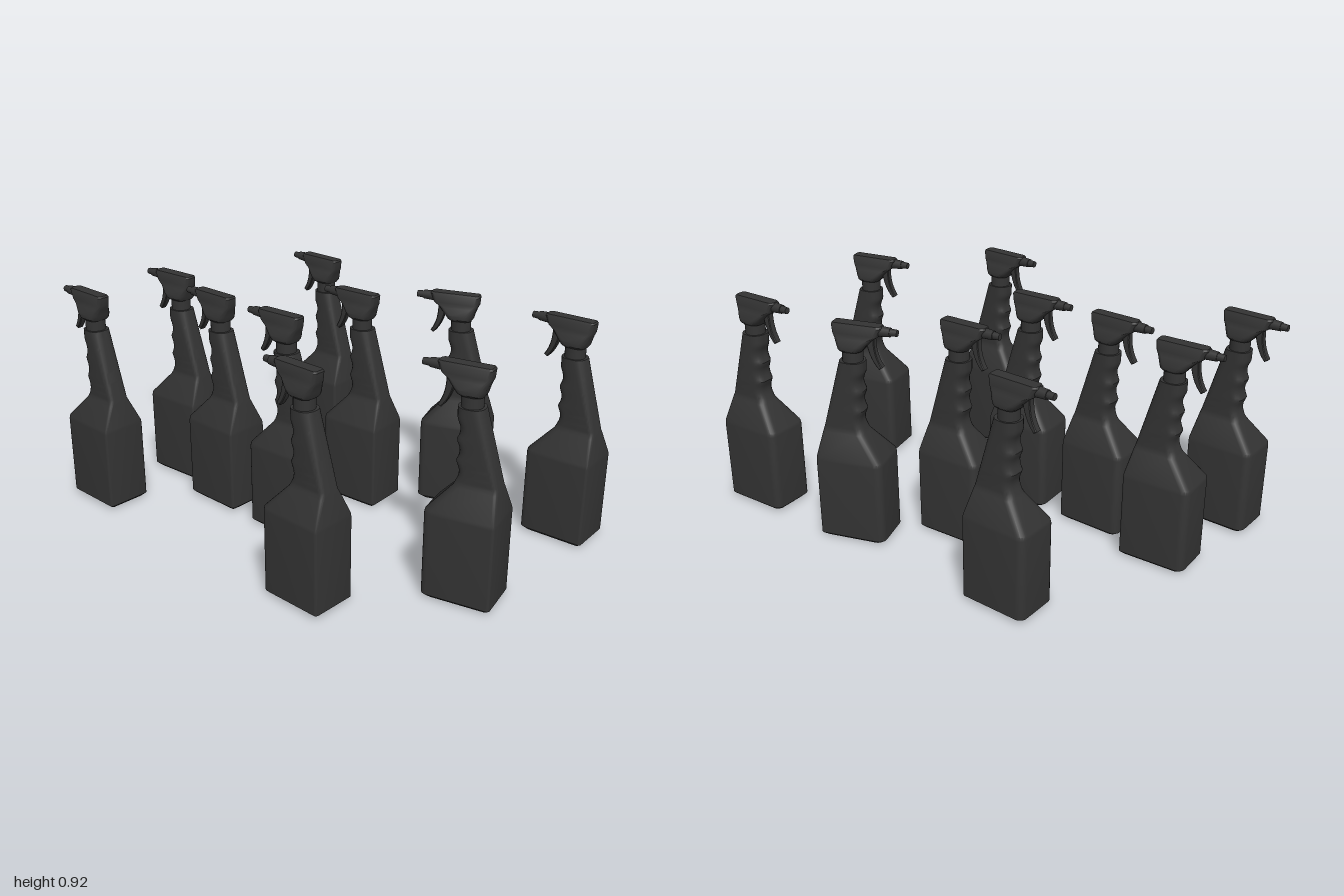
import * as THREE from 'three';
import { toCreasedNormals } from 'three/addons/utils/BufferGeometryUtils.js';

const CORNER_STEPS = 5;

// Rounded rectangle in plan; the front (-x) and back (+x) corners have their own radii
function ring([y, x0, x1, hz, rFront, rBack]) {
  const pts = [];
  const corners = [[1, 1, 0], [-1, 1, 1], [-1, -1, 2], [1, -1, 3]];
  for (const [sx, sz, quarter] of corners) {
    const r = sx > 0 ? rBack : rFront;
    const cx = sx > 0 ? x1 - r : x0 + r;
    const cz = sz * (hz - r);
    for (let i = 0; i <= CORNER_STEPS; i++) {
      const a = (quarter + i / CORNER_STEPS) * Math.PI / 2;
      pts.push([cx + r * Math.cos(a), y, cz + r * Math.sin(a)]);
    }
  }
  return pts;
}

// Skin a stack of rings from bottom to top and close both ends
function loft(sections, crease = 0.6) {
  const rings = sections.map(ring);
  const n = rings[0].length, last = rings.length - 1;
  const pos = rings.flat(2), index = [];
  for (let i = 0; i < last; i++) {
    for (let j = 0; j < n; j++) {
      const a = i * n + j, b = i * n + (j + 1) % n;
      index.push(a, a + n, b, b, a + n, b + n);
    }
  }
  for (const i of [0, last]) {
    const [y, x0, x1] = sections[i];
    const c = pos.length / 3;
    pos.push((x0 + x1) / 2, y, 0);
    for (let j = 0; j < n; j++) {
      const a = i * n + j, b = i * n + (j + 1) % n;
      if (i === 0) index.push(c, a, b);
      else index.push(c, b, a);
    }
  }
  const g = new THREE.BufferGeometry();
  g.setAttribute('position', new THREE.Float32BufferAttribute(pos, 3));
  g.setIndex(index);
  return toCreasedNormals(g, crease);
}

// Bottle body: boxy base, sloped shoulder, leaning neck with three finger grips
function bodyGeometry() {
  const sections = [
    [0, -0.122, 0.122, 0.08, 0.025, 0.01],
    [0.015, -0.139, 0.139, 0.096, 0.03, 0.012],
    [0.35, -0.139, 0.139, 0.096, 0.03, 0.012],
    [0.365, -0.136, 0.138, 0.094, 0.03, 0.012],
    [0.46, -0.052, 0.124, 0.052, 0.03, 0.016],
  ];
  const y0 = 0.475, y1 = 0.764, steps = 28;
  for (let i = 0; i <= steps; i++) {
    const t = i / steps, y = y0 + (y1 - y0) * t;
    const grip = t < 0.84 ? 0.013 * Math.abs(Math.sin(Math.PI * 3 * t / 0.84)) : 0;
    const back = THREE.MathUtils.lerp(0.121, 0.046, t);
    sections.push([y, -0.046 - 0.008 * t + grip, back, 0.046, 0.03 + 0.01 * t, 0.018 + 0.02 * t]);
  }
  return loft(sections);
}

// Spray head: wide skirt narrowing to a slim top that reaches forward
function headGeometry() {
  return loft([
    [0.808, -0.05, 0.04, 0.042, 0.03, 0.03],
    [0.816, -0.058, 0.044, 0.049, 0.03, 0.03],
    [0.832, -0.07, 0.048, 0.05, 0.03, 0.03],
    [0.86, -0.098, 0.059, 0.036, 0.025, 0.022],
    [0.876, -0.122, 0.067, 0.028, 0.018, 0.015],
    [0.911, -0.137, 0.07, 0.027, 0.018, 0.012],
    [0.918, -0.132, 0.066, 0.023, 0.016, 0.01],
  ]);
}

// Curved trigger blade, extruded across the width
function triggerGeometry() {
  const s = new THREE.Shape();
  s.moveTo(-0.1, 0.875);
  s.quadraticCurveTo(-0.094, 0.8, -0.128, 0.75);
  s.lineTo(-0.119, 0.744);
  s.quadraticCurveTo(-0.08, 0.785, -0.072, 0.86);
  s.closePath();
  const g = new THREE.ExtrudeGeometry(s, {
    depth: 0.022, bevelEnabled: true, bevelSize: 0.003, bevelThickness: 0.003, bevelSegments: 1, curveSegments: 8,
  });
  g.translate(0, 0, -0.011);
  return toCreasedNormals(g, 0.6);
}

// Cylinder lying along x between two positions
function barrel(x0, x1, r0, r1) {
  const g = new THREE.CylinderGeometry(r1, r0, x1 - x0, 16);
  g.rotateZ(-Math.PI / 2);
  g.translate((x0 + x1) / 2, 0.896, 0);
  return g;
}

export function createModel() {
  const plastic = new THREE.MeshStandardMaterial({ color: 0x333333 });
  const collar = new THREE.CylinderGeometry(0.041, 0.041, 0.06, 24);
  collar.translate(-0.005, 0.79, 0);

  const parts = {
    body: bodyGeometry(),
    collar,
    sprayHead: headGeometry(),
    trigger: triggerGeometry(),
    nozzleBarrel: barrel(-0.168, -0.12, 0.018, 0.021),
    nozzleTip: barrel(-0.196, -0.165, 0.013, 0.015),
  };

  // Each bottle: x, z, turn in degrees
  const places = [
    [-0.433, -0.548, -1.8], [0.342, -0.503, 18], [0.856, -0.529, 2.2], [0.021, -0.251, 2.2],
    [-0.404, 0.152, -1.8], [-0.741, 0.064, 1.8], [-0.027, 0.16, 2], [0.829, 0.136, 12],
    [-0.805, 0.481, -2.2], [0.398, 0.529, -2.2],
  ];

  const model = new THREE.Group();
  model.name = 'sprayBottles';
  places.forEach(([x, z, deg], i) => {
    const bottle = new THREE.Group();
    bottle.name = `sprayBottle${i + 1}`;
    for (const [name, geometry] of Object.entries(parts)) {
      const mesh = new THREE.Mesh(geometry, plastic);
      mesh.name = name;
      bottle.add(mesh);
    }
    bottle.position.set(x, 0, z);
    bottle.rotation.y = THREE.MathUtils.degToRad(deg);
    model.add(bottle);
  });
  return model;
}
